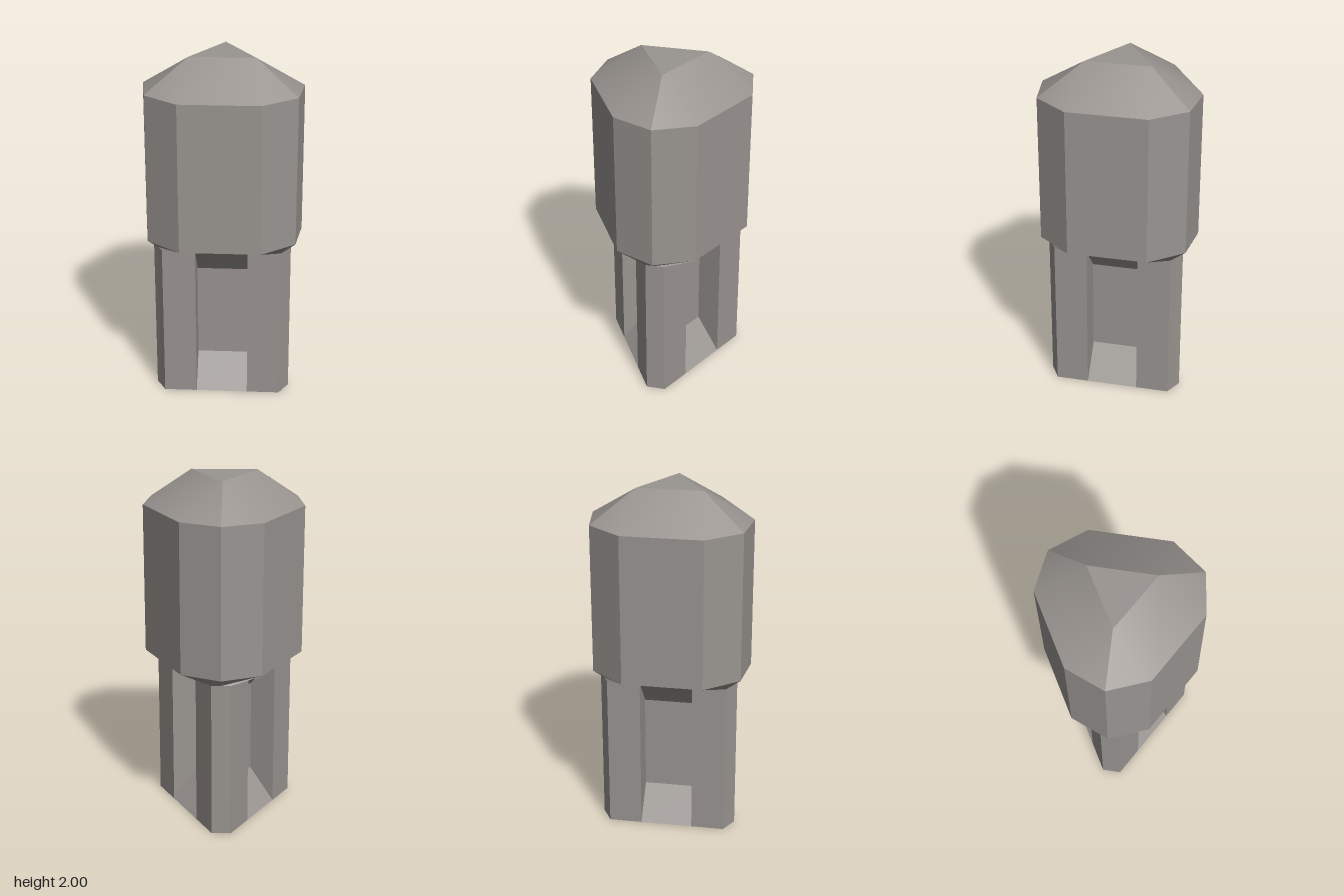
import * as THREE from 'three';
import { toCreasedNormals } from 'three/addons/utils/BufferGeometryUtils.js';

// Three-fold shape: everything is described for one sector whose long side
// faces +z, then turned to the three sides.
const TURNS = [30, 150, 270].map(THREE.MathUtils.degToRad);
const mirrored = (face) => face.map(([x, y, z]) => [-x, y, z]).reverse();

// Mesh from convex faces: `middle` faces are used as they are, `sides` are mirrored in x.
// Edges bending by less than `crease` degrees are shaded smoothly.
function sectorMesh(name, middle, sides, crease, material) {
  const faces = [...middle, ...sides, ...sides.map(mirrored)];
  const positions = [];
  const v = new THREE.Vector3();
  const up = new THREE.Vector3(0, 1, 0);
  for (const turn of TURNS) {
    for (const face of faces) {
      for (let i = 1; i < face.length - 1; i++) {
        for (const p of [face[0], face[i], face[i + 1]]) {
          v.set(...p).applyAxisAngle(up, turn);
          positions.push(v.x, v.y, v.z);
        }
      }
    }
  }
  const geometry = new THREE.BufferGeometry();
  geometry.setAttribute('position', new THREE.Float32BufferAttribute(positions, 3));
  const mesh = new THREE.Mesh(toCreasedNormals(geometry, THREE.MathUtils.degToRad(crease)), material);
  mesh.name = name;
  return mesh;
}

export function createModel() {
  const group = new THREE.Group();
  group.name = 'triangularPlug';
  const material = new THREE.MeshStandardMaterial({ color: 0x999490, side: THREE.DoubleSide });

  // Section corners of a sector, as functions of height
  const at = (x, z) => (y, s = 1) => [s * x, y, z];
  const bodySide = at(0.2265, 0.39);
  const bodyTip = at(0.418, 0.241);
  const top = at(0.186, 0.107);
  const legCorner = at(0.337, 0.258);
  const legTip = at(0.364, 0.21);
  const slotOuter = at(0.149, 0.258);
  const slotInner = at(0.149, 0.1);

  // Heights
  const legTop = 0.91, bodyLow = 0.96, bodyHigh = 1.82, peak = 2;
  const floorLow = 0.18, floorHigh = 0.73;

  // Quad across the sector, from one mirrored pair of corners up to another
  const across = (a, ya, b, yb) => [a(ya, -1), a(ya), b(yb), b(yb, -1)];
  // Quad between two neighbouring corners
  const wall = (a, b, y0, y1) => [a(y0), b(y0), b(y1), a(y1)];

  group.add(
    // Tapered cap with a small triangular top, each flank smooth between the tips
    sectorMesh('cap', [
      across(bodySide, bodyHigh, top, peak),
      [top(peak, -1), top(peak), [0, peak, 0]],
    ], [
      [bodySide(bodyHigh), bodyTip(bodyHigh), top(peak)],
    ], 24, material),

    // Nine-sided body
    sectorMesh('body', [
      across(bodySide, bodyLow, bodySide, bodyHigh),
    ], [
      wall(bodySide, bodyTip, bodyLow, bodyHigh),
    ], 5, material),

    // Collar flaring out to the body, running smoothly on from the slots' upper ends
    sectorMesh('collar', [
      across(slotInner, floorHigh, slotOuter, legTop),
      across(slotOuter, legTop, bodySide, bodyLow),
    ], [
      [slotOuter(legTop), legCorner(legTop), bodySide(bodyLow)],
      [legCorner(legTop), legTip(legTop), bodyTip(bodyLow), bodySide(bodyLow)],
    ], 40, material),

    // Outer walls of the three legs, open underneath
    sectorMesh('legs', [], [
      wall(slotOuter, legCorner, 0, legTop),
      wall(legCorner, legTip, 0, legTop),
    ], 5, material),

    // Slots between the legs: floor, sloped lower end and side walls
    sectorMesh('slots', [
      across(slotInner, floorLow, slotInner, floorHigh),
      across(slotOuter, 0, slotInner, floorLow),
    ], [
      [slotInner(floorLow), slotOuter(0), slotOuter(legTop), slotInner(floorHigh)],
    ], 5, material),
  );

  // Centre the bounding box on x = 0
  for (const part of group.children) part.position.x = -0.046;
  return group;
}
